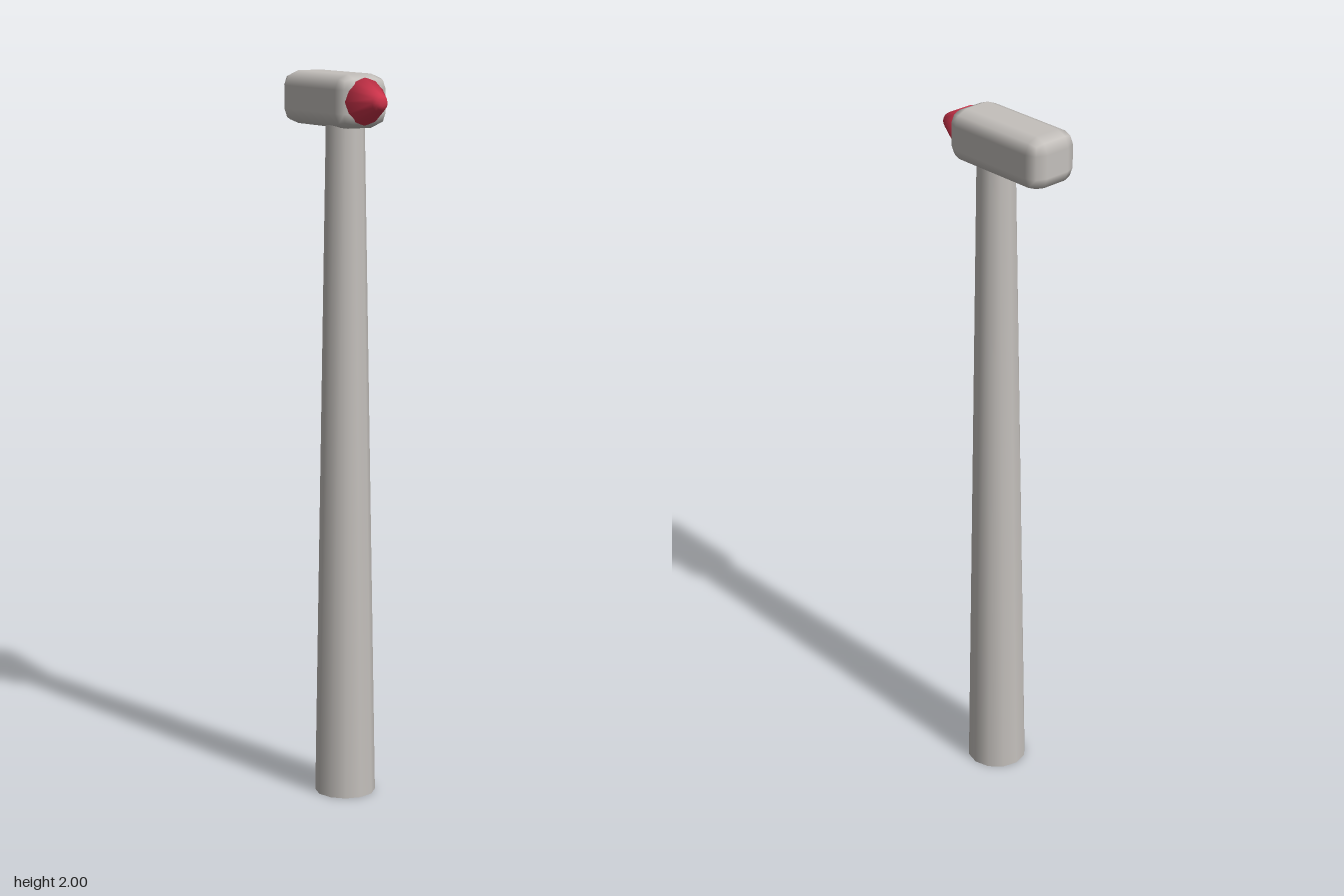
import * as THREE from 'three';
import { RoundedBoxGeometry } from 'three/addons/geometries/RoundedBoxGeometry.js';

export function createModel() {
  const grey = new THREE.MeshStandardMaterial({ color: 0xc4c0bc });
  grey.name = 'warm grey';
  const red = new THREE.MeshStandardMaterial({ color: 0xcc334a });
  red.name = 'red';

  const model = new THREE.Group();
  model.name = 'hammer';
  const add = (name, geometry, material, x, y, z) => {
    const mesh = new THREE.Mesh(geometry, material);
    mesh.name = name;
    mesh.position.set(x, y, z);
    model.add(mesh);
  };

  // Long tapered handle, reaching slightly into the head
  add('handle', new THREE.CylinderGeometry(0.052, 0.084, 1.88, 12), grey, 0, 0.94, 0.018);

  // Block head with soft bevels
  add('head', new RoundedBoxGeometry(0.152, 0.143, 0.34, 1, 0.04), grey, 0, 1.9285, -0.04);

  // Blunt red tip pointing forward
  const profile = [[0, 0.113], [0.063, 0.118], [0.024, 0.193], [0.018, 0.203], [0.008, 0.207], [0, 0.207]]
    .map(([r, z]) => new THREE.Vector2(r, z));
  add('tip', new THREE.LatheGeometry(profile, 12).rotateX(Math.PI / 2), red, 0, 1.9285, 0);

  return model;
}
